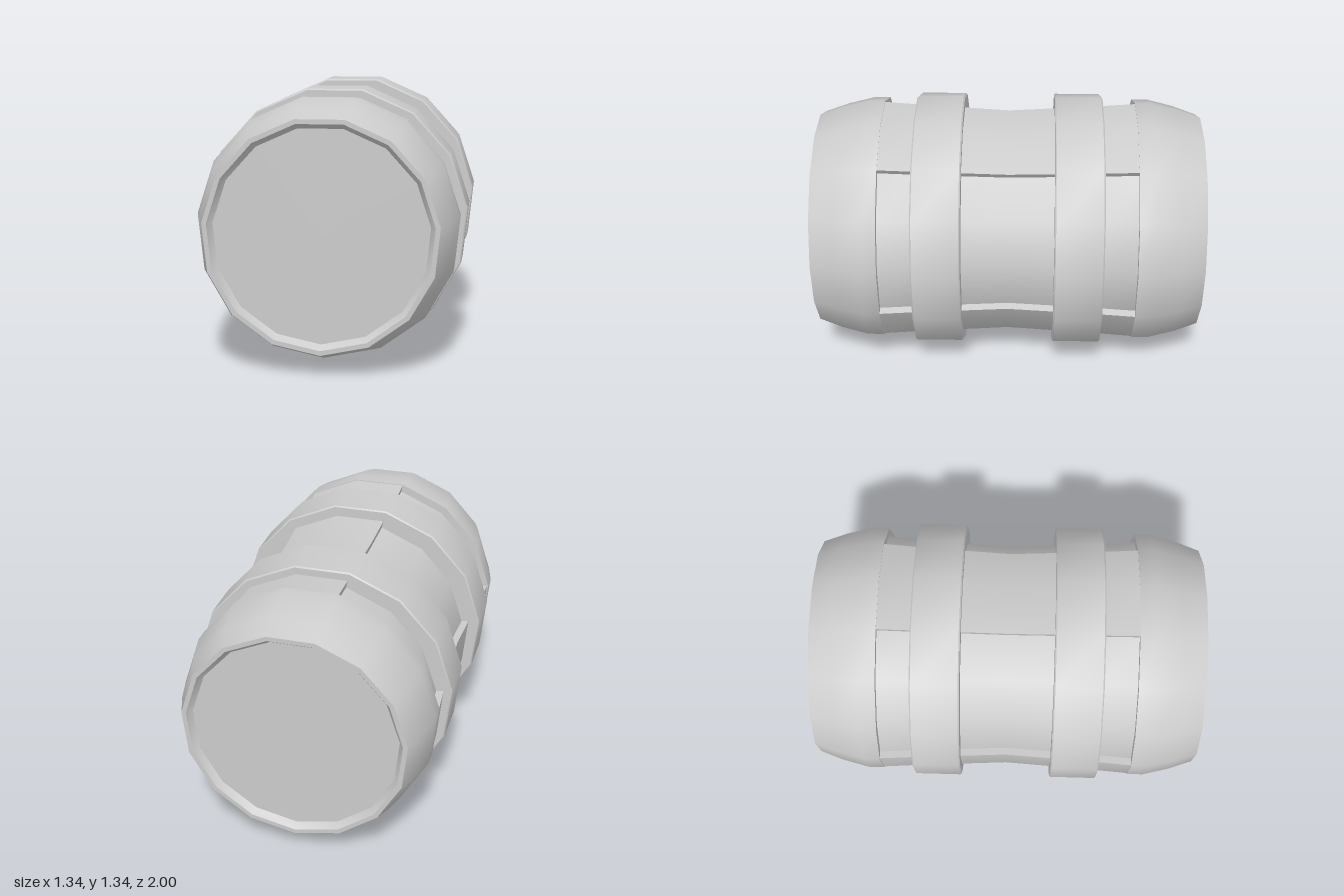
import * as THREE from 'three';
import { toCreasedNormals } from 'three/addons/utils/BufferGeometryUtils.js';

const SIDES = 15;
const STEP = (Math.PI * 2) / SIDES;
const CENTER_Y = 0.675;
const CREASE = 0.55;

const material = new THREE.MeshStandardMaterial({ color: 0xcccccc });
const wallMaterial = new THREE.MeshStandardMaterial({ color: 0xcccccc, side: THREE.DoubleSide });

const toPoints = (profile) => profile.map(([r, z]) => new THREE.Vector2(r, z));
const mirrorZ = (profile) => profile.map(([r, z]) => [r, -z]).reverse();

// Turned part: [radius, z] profile around the z axis, corner 0 at the bottom
function turned(name, profile, first = 0, count = SIDES) {
  const lathe = new THREE.LatheGeometry(toPoints(profile), count, first * STEP, count * STEP);
  lathe.rotateX(Math.PI / 2);
  const mesh = new THREE.Mesh(toCreasedNormals(lathe, CREASE), material);
  mesh.name = name;
  return mesh;
}

// Flat radial wall closing a raised panel at one corner
function radialWall(profile, corner) {
  const wall = new THREE.ShapeGeometry(new THREE.Shape(toPoints(profile)));
  wall.rotateY(corner * STEP - Math.PI / 2);
  wall.rotateX(Math.PI / 2);
  const mesh = new THREE.Mesh(wall, wallMaterial);
  mesh.name = 'panelEdge';
  return mesh;
}

export function createModel() {
  const barrel = new THREE.Group();
  barrel.name = 'barrel';
  const body = new THREE.Group();
  body.name = 'barrelBody';
  body.position.y = CENTER_Y;
  barrel.add(body);

  // Waisted core, visible in the recesses
  const half = [[0.603, 0], [0.617, 0.24], [0.631, 0.48], [0.644, 0.66]];
  const raised = [...mirrorZ(half.slice(1)), ...half];
  const recessed = raised.map(([r, z]) => [r - 0.038, z]);
  body.add(turned('core', recessed));

  // Three raised panels, each two sides wide with three-side gaps
  for (const corner of [1, 6, 11]) {
    const panel = new THREE.Group();
    panel.name = 'raisedPanel';
    const outline = [...raised, ...[...recessed].reverse()];
    panel.add(
      turned('panelFace', raised, corner, 2),
      radialWall(outline, corner),
      radialWall(outline, corner + 2)
    );
    body.add(panel);
  }

  // Tapered end caps with an inset lid, and the two hoops
  const cap = [
    [0.59, 0.655], [0.648, 0.655], [0.648, 0.74], [0.613, 0.88],
    [0.57, 1], [0.547, 1], [0.523, 0.965], [0, 0.965],
  ];
  const hoop = [[0.56, 0.235], [0.668, 0.235], [0.675, 0.242], [0.675, 0.478], [0.668, 0.485], [0.58, 0.485]];
  body.add(
    turned('frontCap', cap),
    turned('backCap', mirrorZ(cap)),
    turned('frontHoop', hoop),
    turned('backHoop', mirrorZ(hoop))
  );

  return barrel;
}
